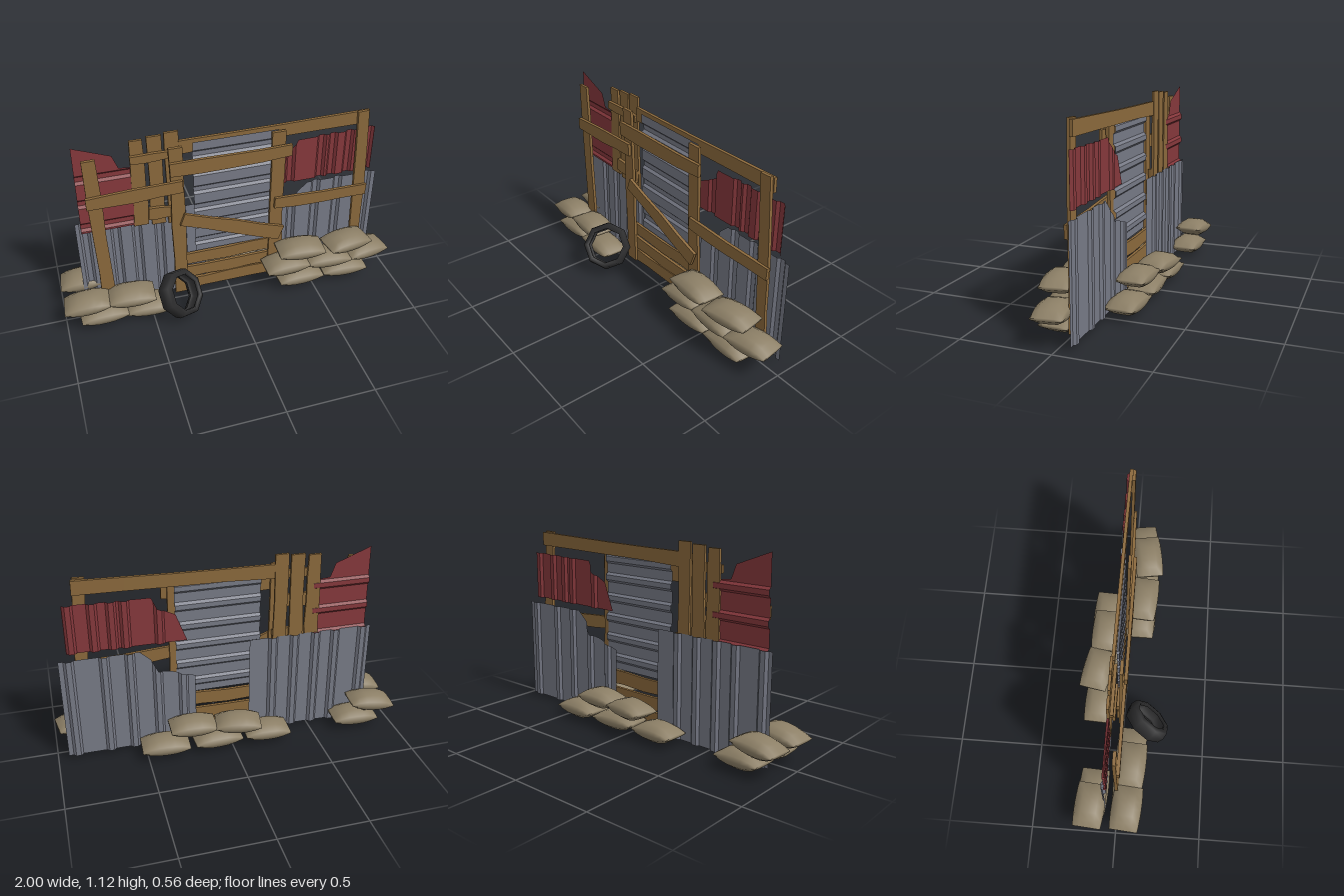
import * as THREE from 'three';
import { mergeVertices } from 'three/addons/utils/BufferGeometryUtils.js';

const flatColor = (name, color, side = THREE.FrontSide) =>
  Object.assign(new THREE.MeshStandardMaterial({ color, side }), { name });

export function createModel() {
  const model = new THREE.Group();
  model.name = 'scrapBarricade';
  const wood = flatColor('wood', 0x8b693c);
  const steel = flatColor('greySteel', 0x777a86, THREE.DoubleSide);
  const red = flatColor('redSteel', 0x86383c, THREE.DoubleSide);
  const burlap = flatColor('burlap', 0x8c7f66);
  const rubber = flatColor('rubber', 0x2b2b2c, THREE.DoubleSide);

  let seed = 7;
  const rand = () => ((seed = (seed * 16807) % 2147483647) / 2147483647) - 0.5;

  const add = (name, geometry, material) => {
    const mesh = new THREE.Mesh(geometry, material);
    mesh.name = name;
    model.add(mesh);
    return mesh;
  };

  // Rough board between two centre-line end points, with slightly uneven edges
  function plank(name, [x1, y1, z1], [x2, y2, z2], width = 0.08, thick = 0.018) {
    const len = Math.hypot(x2 - x1, y2 - y1), segs = 4;
    let g = new THREE.BoxGeometry(len, width, thick, segs, 1, 1);
    const wobble = Array.from({ length: 2 * (segs + 1) }, () => rand() * 0.012);
    const p = g.attributes.position;
    for (let i = 0; i < p.count; i++) {
      const k = Math.round((p.getX(i) / len + 0.5) * segs);
      p.setY(i, p.getY(i) + wobble[k * 2 + (p.getY(i) > 0 ? 1 : 0)]);
    }
    g = g.toNonIndexed();
    g.computeVertexNormals();
    const m = add(name, g, wood);
    m.position.set((x1 + x2) / 2, (y1 + y2) / 2, (z1 + z2) / 2);
    m.rotation.set(0, -Math.atan2(z2 - z1, len), Math.atan2(y2 - y1, x2 - x1), 'ZYX');
  }

  // Piecewise linear lookup in a list of [u, value]
  function at(line, u) {
    for (let i = 1; i < line.length; i++) {
      const [a, va] = line[i - 1], [b, vb] = line[i];
      if (u <= b) return va + (vb - va) * Math.max(0, (u - a) / (b - a));
    }
    return line[line.length - 1][1];
  }

  // Ribbed sheet: ribs sit at positions along u, edges lo(u) and hi(u) bound it across
  function sheet(name, material, z, ribs, lo, hi, horizontal = false, depth = 0.014) {
    const start = lo[0][0], end = lo[lo.length - 1][0];
    const wave = [[start, 0]];
    for (const c of ribs) wave.push([c - 0.028, 0], [c - 0.014, -depth], [c + 0.014, -depth], [c + 0.028, 0]);
    wave.push([end, 0]);
    const us = [...new Set([...wave, ...lo, ...hi].map(q => q[0]))]
      .filter(u => u >= start && u <= end).sort((a, b) => a - b);
    const point = (u, v) => horizontal ? [v, u, z + at(wave, u)] : [u, v, z + at(wave, u)];
    const pos = [];
    for (let i = 1; i < us.length; i++) {
      const [u, w] = [us[i - 1], us[i]];
      const a = point(u, at(lo, u)), b = point(w, at(lo, w));
      const c = point(w, at(hi, w)), d = point(u, at(hi, u));
      pos.push(...a, ...b, ...c, ...a, ...c, ...d);
    }
    const g = new THREE.BufferGeometry();
    g.setAttribute('position', new THREE.Float32BufferAttribute(pos, 3));
    g.computeVertexNormals();
    add(name, g, material);
  }

  // Metal sheets
  sheet('leftLowerSheet', steel, -0.07, [-0.82, -0.65, -0.53, -0.4, -0.27],
    [[-0.87, 0], [-0.13, 0.01]], [[-0.87, 0.62], [-0.13, 0.62]]);
  sheet('rightLowerSheet', steel, -0.07, [0.26, 0.405, 0.555, 0.695, 0.885],
    [[0.19, 0.02], [0.94, 0.02]],
    [[0.19, 0.44], [0.33, 0.49], [0.4, 0.5], [0.44, 0.58], [0.5, 0.635], [0.94, 0.635]]);
  sheet('doorSheet', steel, -0.03, [0.38, 0.5, 0.62, 0.74, 0.86, 0.97],
    [[0.31, -0.2], [1.05, -0.2]], [[0.31, 0.29], [1.05, 0.29]], true);
  sheet('leftUpperSheet', red, -0.055, [0.6, 0.755, 0.91],
    [[0.56, -0.84], [1.11, -0.835]],
    [[0.56, -0.5], [0.94, -0.5], [0.95, -0.6], [1.03, -0.63], [1.11, -0.834]], true);
  sheet('rightUpperSheet', red, -0.055, [0.38, 0.565, 0.635, 0.735, 0.86],
    [[0.23, 0.665], [0.89, 0.67]],
    [[0.23, 0.67], [0.29, 0.83], [0.39, 0.88], [0.42, 0.945], [0.89, 0.955]]);

  // Uprights
  plank('leftPost', [-0.735, 0.04, -0.01], [-0.757, 1.05, -0.01], 0.075);
  plank('doorLeftPost', [-0.295, 0.03, -0.02], [-0.3, 1.05, -0.008], 0.08);
  plank('doorRightPost', [0.29, 0.03, -0.025], [0.288, 1.05, -0.01], 0.08);
  plank('rightPost', [0.83, 0.05, -0.035], [0.79, 1.09, -0.022], 0.07);
  [[-0.5, 0.55, 1.1], [-0.403, 0.54, 1.11], [-0.307, 0.53, 1.12]].forEach(([x, y0, y1]) =>
    plank('fencePlank', [x, y0, -0.06], [x, y1, -0.06], 0.08, 0.015));

  // Rails and brace
  plank('topBeam', [-0.27, 1.02, -0.055], [0.83, 1.045, -0.04], 0.08);
  plank('doorTopRail', [-0.34, 0.925, 0.015], [0.355, 0.935, 0.015]);
  plank('leftRail', [-0.8, 0.795, 0.008], [-0.27, 0.805, 0.008], 0.075);
  plank('rightRail', [0.27, 0.58, 0], [0.855, 0.555, -0.015], 0.075);
  plank('doorBrace', [-0.28, 0.585, 0.006], [0.315, 0.36, 0.006], 0.085);
  plank('fenceTopRail', [-0.54, 0.99, -0.042], [-0.27, 0.995, -0.042], 0.04);
  plank('fenceLowRail', [-0.46, 0.63, -0.042], [-0.27, 0.615, -0.042], 0.07);
  [0.07, 0.16, 0.26].forEach(y =>
    plank('doorLowBoard', [-0.3, y, -0.035], [0.3, y, -0.035], 0.08));

  // Sandbag: pillow pinched to a seam at both ends, rounded along its long sides
  const bagShape = new THREE.BoxGeometry(2, 2, 2, 6, 2, 4);
  bagShape.deleteAttribute('uv');
  bagShape.deleteAttribute('normal');
  const bagGeometry = mergeVertices(bagShape);
  const bp = bagGeometry.attributes.position;
  for (let i = 0; i < bp.count; i++) {
    const x = bp.getX(i), y = bp.getY(i), z = bp.getZ(i);
    const pinch = 0.15 + 0.85 * (1 - Math.abs(x) ** 2.6);
    const side = 1 - 0.5 * z ** 4;
    const bulge = Math.abs(z) > 0.9 ? 1 - 0.1 * Math.abs(y) : 1;
    bp.setXYZ(i, x * 0.14, y * 0.053 * pinch * side, z * 0.09 * bulge * (1 - 0.08 * x * x));
  }
  bagGeometry.computeVertexNormals();

  // x, y, z, turn about y, tilt about z, length scale
  const bags = [
    // front left stack
    [-0.872, 0.155, 0.055, -0.08, 0.1, 0.92], [-0.615, 0.16, 0.065, -0.06, 0, 0.96],
    [-0.785, 0.065, 0.055, 0.04, 0, 0.97], [-0.51, 0.06, 0.06, -0.04, 0, 1],
    // front right stack
    [0.42, 0.065, 0.065, 0.03, 0, 1], [0.71, 0.065, 0.065, -0.04, 0, 1],
    [0.335, 0.16, 0.06, 0, 0.05, 0.95], [0.6, 0.158, 0.065, -0.05, 0, 1],
    [0.855, 0.16, 0.055, 0.15, 0, 0.93], [0.42, 0.265, 0.07, -0.07, 0, 1],
    [0.715, 0.265, 0.08, 0.16, 0, 0.98],
    // rear left stack
    [-0.868, 0.155, -0.16, -0.08, 0.1, 0.92], [-0.77, 0.063, -0.15, -0.05, 0, 0.95],
    // rear middle stack
    [-0.21, 0.063, -0.16, -0.04, 0, 0.95], [0.09, 0.063, -0.155, 0.05, 0, 1],
    [0.395, 0.063, -0.155, -0.05, 0, 0.98], [-0.03, 0.16, -0.185, -0.18, 0, 0.93],
    [0.23, 0.16, -0.15, -0.04, 0, 0.95],
  ];
  for (const [x, y, z, turn, tilt, length] of bags) {
    const bag = add('sandbag', bagGeometry, burlap);
    bag.position.set(x, y, z);
    bag.rotation.set(0, turn, tilt);
    bag.scale.x = length;
  }

  // Tyre: hollow eight-sided ring leaning against the wall
  const profile = [[0.105, -0.03], [0.108, -0.05], [0.138, -0.04], [0.146, 0],
    [0.138, 0.04], [0.108, 0.05], [0.105, 0.03], [0.125, 0.025], [0.125, -0.025], [0.105, -0.03]];
  const tyre = add('tyre', new THREE.LatheGeometry(profile.map(q => new THREE.Vector2(...q)), 8), rubber);
  tyre.position.set(-0.34, 0.163, 0.145);
  tyre.quaternion.setFromUnitVectors(new THREE.Vector3(0, 1, 0), new THREE.Vector3(0.56, 0.56, 0.6).normalize());

  return model;
}
